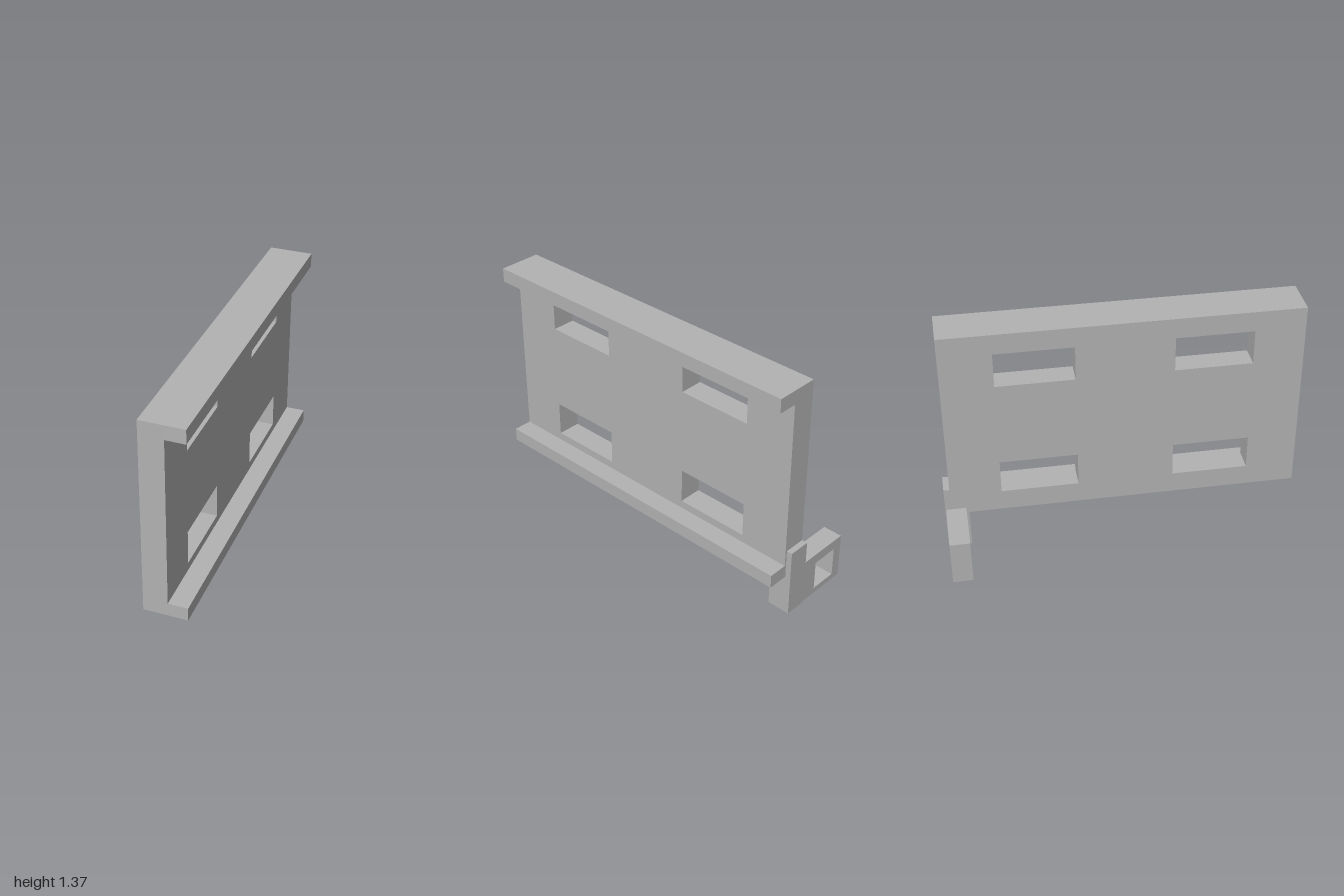
import * as THREE from 'three';

const grey = new THREE.MeshStandardMaterial({ color: 0xb2b2b2 });
grey.name = 'grey';

// Trace a rectangle on a Shape or Path
function rect(path, x0, x1, y0, y1) {
  path.moveTo(x0, y0);
  path.lineTo(x1, y0);
  path.lineTo(x1, y1);
  path.lineTo(x0, y1);
  path.closePath();
  return path;
}

// Rectangular slab with rectangular holes, extruded along z from 0 to depth
function piercedSlab(outline, holes, depth) {
  const shape = rect(new THREE.Shape(), ...outline);
  for (const h of holes) shape.holes.push(rect(new THREE.Path(), ...h));
  return new THREE.ExtrudeGeometry(shape, { depth, bevelEnabled: false });
}

// Box given by its limits on each axis
function box(x0, x1, y0, y1, z0, z1) {
  return new THREE.BoxGeometry(x1 - x0, y1 - y0, z1 - z0)
    .translate((x0 + x1) / 2, (y0 + y1) / 2, (z0 + z1) / 2);
}

export function createModel() {
  const model = new THREE.Group();
  model.name = 'bracketPanel';
  const add = (name, geometry) => {
    const mesh = new THREE.Mesh(geometry, grey);
    mesh.name = name;
    model.add(mesh);
  };

  // Upright panel with four windows
  const windows = [];
  for (const [z0, z1] of [[0.29, 0.72], [-0.68, -0.247]])
    for (const [y0, y1] of [[0.355, 0.555], [1.05, 1.25]])
      windows.push([z0, z1, y0, y1]);
  add('panel', piercedSlab([-0.967, 1, 0.232, 1.367], windows, 0.134)
    .rotateY(-Math.PI / 2).translate(0.167, 0, 0));

  // Long flanges along the top and bottom edges
  add('topFlange', box(0.167, 0.276, 1.287, 1.367, -0.967, 1));
  add('bottomFlange', box(0.167, 0.276, 0.232, 0.309, -0.967, 1));

  // Rear mount: thin tab against the panel end and a block beneath it
  add('mountTab', box(0.033, 0.157, 0, 0.4, -1, -0.967));
  add('mountBlock', box(0.033, 0.157, 0, 0.232, -0.967, -0.868));

  // Square eye sticking out sideways from the mount
  add('mountEye', piercedSlab([-0.278, 0.033, 0, 0.264], [[-0.222, -0.065, 0.034, 0.206]], 0.112)
    .translate(0, 0, -0.995));

  return model;
}
